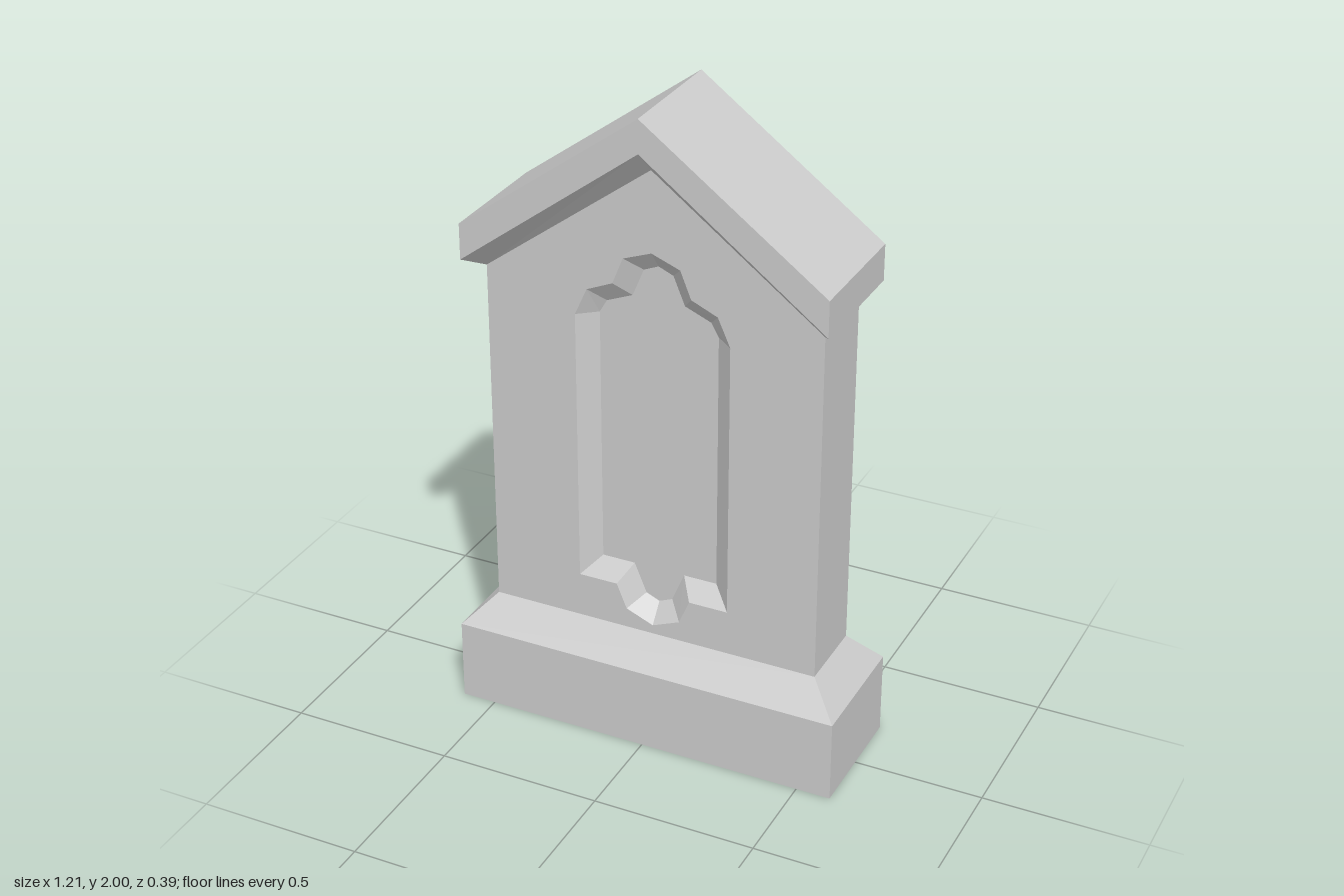
import * as THREE from 'three';

const material = new THREE.MeshStandardMaterial({ color: 0xcccccc, flatShading: true });

const BODY_Z = 0.118, ROOF_Z = 0.195, RECESS = 0.045;

// Strip of quads joining two point rows of equal length
function band(a, b) {
  const pos = [];
  for (let i = 0; i < a.length - 1; i++) {
    for (const p of [a[i], a[i + 1], b[i + 1], a[i], b[i + 1], b[i]]) pos.push(...p);
  }
  const geo = new THREE.BufferGeometry();
  geo.setAttribute('position', new THREE.Float32BufferAttribute(pos, 3));
  geo.computeVertexNormals();
  return geo;
}

function add(parent, name, geo) {
  const mesh = new THREE.Mesh(geo, material);
  mesh.name = name;
  parent.add(mesh);
  return mesh;
}

const atZ = (pts, z) => pts.map(([x, y]) => [x, y, z]);
const flipZ = (pts) => pts.map(([x, y, z]) => [x, y, -z]);
const vec2 = (pts) => pts.map(([x, y]) => new THREE.Vector2(x, y));
const closed = (pts) => [...pts, pts[0]];

// Counter-clockwise loop from a right half listed top to bottom
function symmetricLoop(half) {
  const left = half.map(([x, y]) => [-x, y]);
  return [...left, ...half.slice(1, -1).reverse()];
}

// Rectangular ring at a given height
const ring = (x, y, z) => closed([[-x, y, z], [x, y, z], [x, y, -z], [-x, y, -z]]);

// Gable line running left, peak, right
const gable = (x, eave, peak) => [[-x, eave], [0, peak], [x, eave]];

export function createModel() {
  const model = new THREE.Group();
  model.name = 'gravestone';

  // Plinth with sloped upper edge
  const foot = ring(0.605, 0, ROOF_Z), shoulder = ring(0.605, 0.255, ROOF_Z);
  const neck = ring(0.515, 0.35, BODY_Z);
  const base = new THREE.Group();
  base.name = 'base';
  add(base, 'baseSides', band(foot, shoulder));
  add(base, 'baseSlope', band(shoulder, neck));
  add(base, 'baseUnderside', band([foot[3], foot[2]], [foot[0], foot[1]]));
  model.add(base);

  // Gable lines: top of the wall, lower and upper edge of the roof
  const wallTop = gable(0.515, 1.44, 1.825);
  const roofLow = atZ(gable(0.555, 1.48, 1.9), ROOF_Z);
  const roofHigh = atZ(gable(0.555, 1.59, 2), ROOF_Z);
  const wallEdge = atZ(wallTop, BODY_Z);

  // Lobed niche outlines: at the wall face and at the recessed floor
  const outer = symmetricLoop([[0, 1.58], [0.087, 1.547], [0.12, 1.465], [0.2, 1.43], [0.238, 1.345],
    [0.238, 0.49], [0.117, 0.49], [0.085, 0.413], [0, 0.378]]);
  const inner = symmetricLoop([[0, 1.522], [0.045, 1.503], [0.08, 1.418], [0.16, 1.385], [0.183, 1.345],
    [0.183, 0.547], [0.08, 0.547], [0.042, 0.455], [0, 0.437]]);

  // Front and back faces are identical
  for (const side of ['front', 'back']) {
    const face = new THREE.Group();
    face.name = side + 'Face';
    const wall = new THREE.Shape(vec2([[-0.515, 0.35], [0.515, 0.35], ...[...wallTop].reverse()]));
    wall.holes.push(new THREE.Path(vec2(outer)));
    add(face, side + 'Wall', new THREE.ShapeGeometry(wall)).position.z = BODY_Z;
    add(face, side + 'NicheBevel',
      band(closed(atZ(outer, BODY_Z)), closed(atZ(inner, BODY_Z - RECESS))));
    add(face, side + 'NichePanel', new THREE.ShapeGeometry(new THREE.Shape(vec2(inner))))
      .position.z = BODY_Z - RECESS;
    add(face, side + 'RoofSoffit', band(wallEdge, roofLow));
    add(face, side + 'RoofFascia', band(roofLow, roofHigh));
    if (side === 'back') face.rotation.y = Math.PI;
    model.add(face);
  }

  // Side walls, eaves and roof slopes span from front to back
  const span = (name, row) => add(model, name, band(row, flipZ(row)));
  span('rightWall', [[-0.515, 0.35, BODY_Z], wallEdge[0]]);
  span('leftWall', [wallEdge[2], [0.515, 0.35, BODY_Z]]);
  span('rightEave', [wallEdge[0], roofLow[0], roofHigh[0]]);
  span('leftEave', [roofHigh[2], roofLow[2], wallEdge[2]]);
  span('roofSlopes', roofHigh);

  return model;
}
